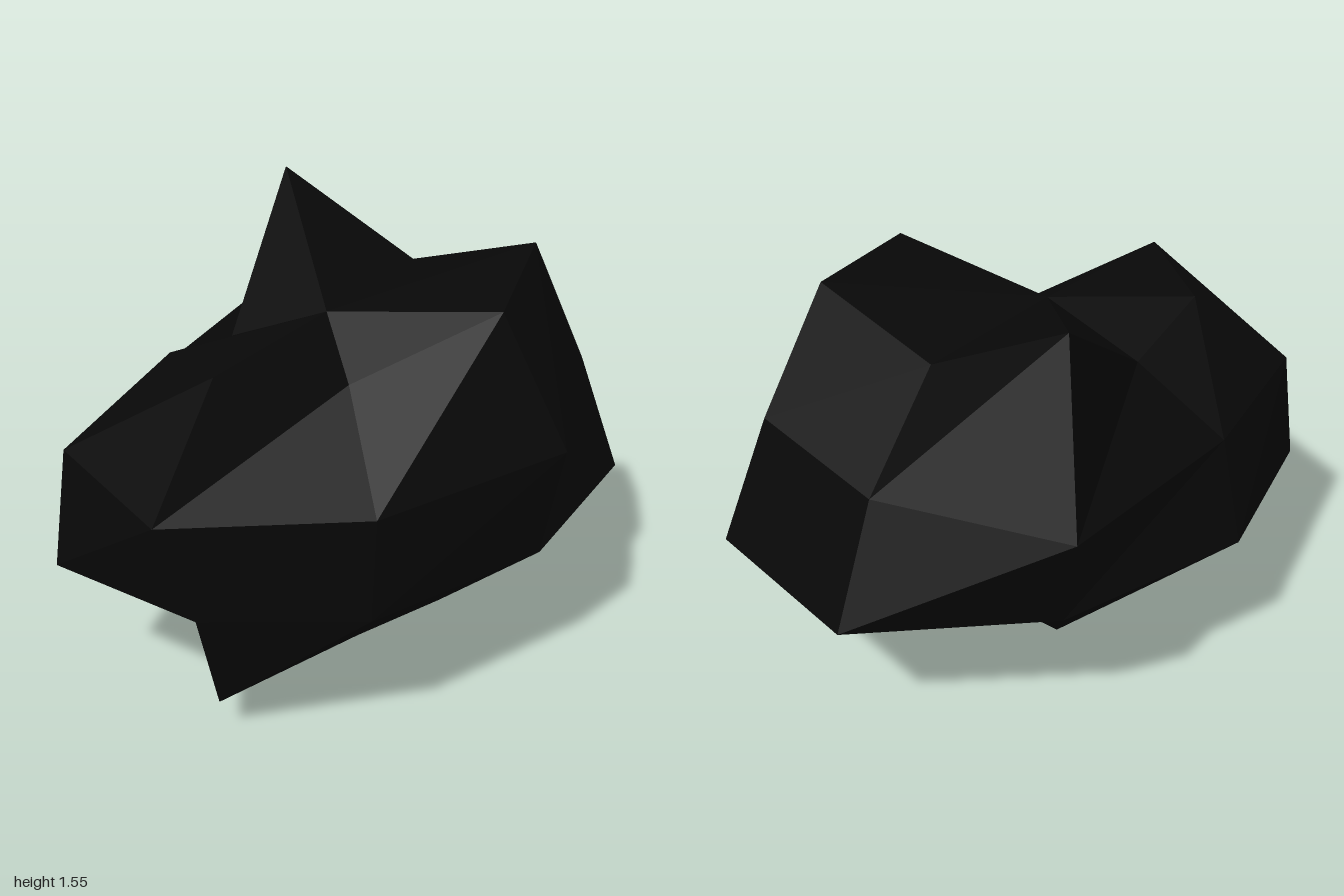
import * as THREE from 'three';

// Rings from top to bottom, eight corners each, running left to right as seen from outside
const TOP = [-0.1, 1.3, 0.08];
const BOTTOM = [-0.1, 0, 0.08];
const RINGS = [
  [[-0.68, 1.3, 0.24], [-0.23, 1.17, 0.34], [0.16, 1.4, 0.62], [0.61, 1.44, 0.34],
    [0.46, 1.29, -0.1], [0.27, 1.555, -0.58], [-0.25, 1.15, -0.24], [-0.6, 1.24, -0.1]],
  [[-1, 0.95, 0.35], [-0.46, 0.94, 0.73], [0.26, 0.96, 0.835], [0.83, 0.97, 0.4],
    [0.75, 0.94, -0.19], [0.41, 1.01, -0.835], [-0.4, 0.94, -0.53], [-0.94, 0.955, -0.23]],
  [[-0.87, 0.57, 0.36], [-0.45, 0.56, 0.7], [0.25, 0.555, 0.76], [0.995, 0.495, 0.47],
    [0.92, 0.51, -0.24], [0.3, 0.54, -0.61], [-0.43, 0.56, -0.61], [-1, 0.54, -0.24]],
  [[-0.73, 0.14, 0.27], [-0.22, 0.23, 0.38], [0.08, 0.29, 0.47], [0.24, 0.41, 0.2],
    [0.34, 0.35, -0.05], [0.13, 0.24, -0.33], [-0.2, 0.25, -0.25], [-0.55, 0.26, -0.06]],
];

function rockGeometry() {
  const positions = [];
  const tri = (a, b, c) => positions.push(...a, ...b, ...c);
  const sides = RINGS[0].length;
  for (let i = 0; i < sides; i++) {
    const j = (i + 1) % sides;
    // Caps
    tri(TOP, RINGS[0][i], RINGS[0][j]);
    tri(BOTTOM, RINGS[3][j], RINGS[3][i]);
    // Side bands, each panel folded from its lower left to its upper right corner
    for (let r = 0; r < 3; r++) {
      const [a, b] = [RINGS[r][i], RINGS[r][j]];
      const [c, d] = [RINGS[r + 1][i], RINGS[r + 1][j]];
      tri(a, c, b);
      tri(c, d, b);
    }
  }
  const geometry = new THREE.BufferGeometry();
  geometry.setAttribute('position', new THREE.Float32BufferAttribute(positions, 3));
  // Corners are not shared, so every face gets its own flat normal
  geometry.computeVertexNormals();
  return geometry;
}

export function createModel() {
  const coal = new THREE.MeshStandardMaterial({ color: 0x080808 });
  coal.name = 'coalBlack';

  const rock = new THREE.Mesh(rockGeometry(), coal);
  rock.name = 'rock';

  const model = new THREE.Group();
  model.name = 'coalLump';
  model.add(rock);
  return model;
}
